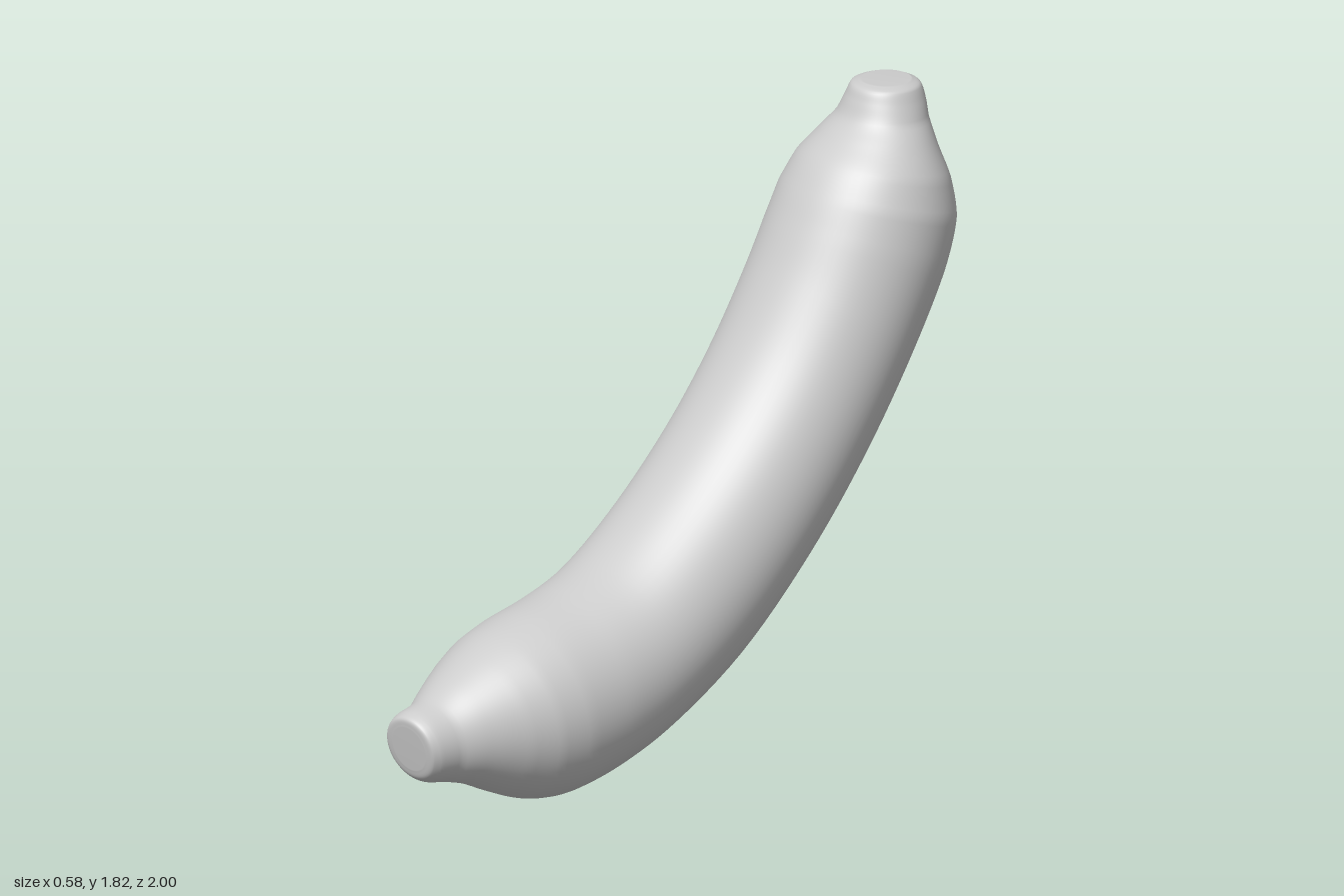
import * as THREE from 'three';

// Cross-sections from the lower tip to the stem:
// [outer z, outer y, inner z, inner y, half width, centre x]
const SECTIONS = [
  [0.975, 0.185, 0.998, 0.315, 0.065, -0.04],
  [0.965, 0.160, 0.998, 0.340, 0.092, -0.04],
  [0.940, 0.143, 0.975, 0.354, 0.106, -0.04],
  [0.880, 0.130, 0.905, 0.373, 0.118, -0.037],
  [0.800, 0.106, 0.830, 0.420, 0.160, -0.034],
  [0.690, 0.054, 0.740, 0.473, 0.213, -0.030],
  [0.600, 0.018, 0.660, 0.510, 0.248, -0.028],
  [0.500, 0.004, 0.560, 0.540, 0.267, -0.026],
  [0.350, 0.026, 0.400, 0.575, 0.272, -0.022],
  [0.150, 0.093, 0.250, 0.630, 0.272, -0.017],
  [-0.130, 0.250, 0.080, 0.755, 0.272, -0.008],
  [-0.400, 0.490, -0.120, 0.945, 0.272, 0.001],
  [-0.620, 0.745, -0.280, 1.140, 0.272, 0.008],
  [-0.820, 1.030, -0.400, 1.330, 0.271, 0.014],
  [-0.955, 1.270, -0.470, 1.460, 0.270, 0.018],
  [-0.998, 1.410, -0.520, 1.550, 0.262, 0.020],
  [-0.985, 1.530, -0.575, 1.625, 0.230, 0.021],
  [-0.955, 1.630, -0.640, 1.680, 0.180, 0.021],
  [-0.940, 1.710, -0.690, 1.725, 0.137, 0.021],
  [-0.937, 1.765, -0.715, 1.775, 0.116, 0.021],
  [-0.925, 1.805, -0.732, 1.808, 0.100, 0.021],
  [-0.900, 1.819, -0.760, 1.819, 0.070, 0.021],
];

// Skin the smoothed cross-sections and close both ends with a fan
function sweptSkin(sections, rings, sides) {
  const curve = (pick) => new THREE.CatmullRomCurve3(sections.map(pick), false, 'centripetal');
  const outer = curve((s) => new THREE.Vector3(s[5], s[1], s[0]));
  const inner = curve((s) => new THREE.Vector3(s[5], s[3], s[2]));
  const widthAt = (t) => {
    const f = t * (sections.length - 1);
    const i = Math.min(Math.floor(f), sections.length - 2);
    return THREE.MathUtils.lerp(sections[i][4], sections[i + 1][4], f - i);
  };

  const positions = [];
  const index = [];
  const centres = [];
  for (let r = 0; r <= rings; r++) {
    const t = r / rings;
    const a = outer.getPoint(t);
    const b = inner.getPoint(t);
    const centre = a.clone().add(b).multiplyScalar(0.5);
    const half = b.sub(a).multiplyScalar(0.5);
    centres.push(centre);
    for (let k = 0; k < sides; k++) {
      const angle = (k / sides) * Math.PI * 2;
      const p = centre.clone().addScaledVector(half, Math.sin(angle));
      p.x += widthAt(t) * Math.cos(angle);
      positions.push(p.x, p.y, p.z);
    }
  }
  for (let r = 0; r < rings; r++) {
    for (let k = 0; k < sides; k++) {
      const a = r * sides + k;
      const b = r * sides + ((k + 1) % sides);
      index.push(a, a + sides, b, b, a + sides, b + sides);
    }
  }
  const tip = positions.length / 3;
  for (const c of [centres[0], centres[rings]]) positions.push(c.x, c.y, c.z);
  const last = rings * sides;
  for (let k = 0; k < sides; k++) {
    const n = (k + 1) % sides;
    index.push(tip, k, n, tip + 1, last + n, last + k);
  }

  // Face order: make the enclosed volume positive so faces point outward
  let volume = 0;
  const v = [0, 1, 2].map(() => new THREE.Vector3());
  for (let i = 0; i < index.length; i += 3) {
    v.forEach((p, j) => p.fromArray(positions, index[i + j] * 3));
    volume += v[0].dot(v[1].clone().cross(v[2]));
  }
  if (volume < 0) index.reverse();

  const geometry = new THREE.BufferGeometry();
  geometry.setAttribute('position', new THREE.Float32BufferAttribute(positions, 3));
  geometry.setIndex(index);
  geometry.computeVertexNormals();
  return geometry;
}

export function createModel() {
  const group = new THREE.Group();
  group.name = 'banana';

  // Curved fruit body, running from the blunt tip to the stem
  const body = new THREE.Mesh(
    sweptSkin(SECTIONS, 126, 64),
    new THREE.MeshStandardMaterial({ color: 0xcccccc })
  );
  body.name = 'fruitBody';
  group.add(body);
  return group;
}
